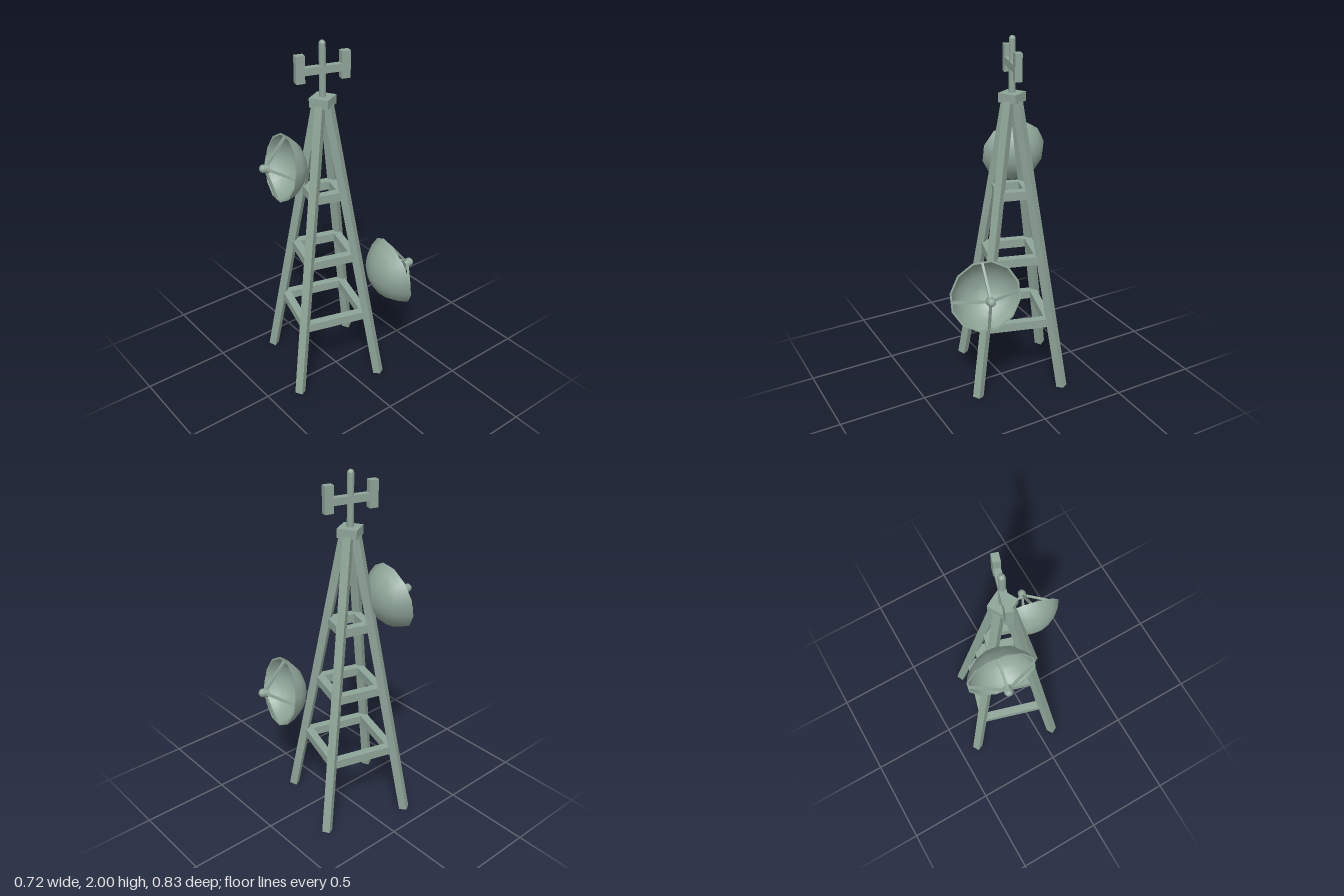
import * as THREE from 'three';
import { mergeGeometries } from 'three/addons/utils/BufferGeometryUtils.js';

const paint = new THREE.MeshStandardMaterial({ color: 0x8fa598 });

function add(parent, name, geometry, x = 0, y = 0, z = 0) {
  const mesh = new THREE.Mesh(geometry, paint);
  mesh.name = name;
  mesh.position.set(x, y, z);
  parent.add(mesh);
  return mesh;
}

// Square bar between two points of the parent's xy plane
function bar(parent, name, x0, y0, x1, y1, w) {
  const length = Math.hypot(x1 - x0, y1 - y0);
  const mesh = add(parent, name, new THREE.BoxGeometry(length, w, w), (x0 + x1) / 2, (y0 + y1) / 2);
  mesh.rotation.z = Math.atan2(y1 - y0, x1 - x0);
  return mesh;
}

function lathe(points, sides, start = 0) {
  return new THREE.LatheGeometry(points.map(([r, h]) => new THREE.Vector2(r, h)), sides, start);
}

// Tower: four leaning legs, three square rings, cap, mast and panel aerial
const LEG = 0.044, FOOT = 0.35, HEAD = 0.03, TOP = 1.67;
const legRadius = (y) => FOOT + (HEAD - FOOT) * y / TOP;

function createTower() {
  const tower = new THREE.Group();
  tower.name = 'tower';

  for (let i = 0; i < 4; i++) {
    const corner = new THREE.Group();
    corner.name = 'legCorner';
    corner.rotation.y = Math.PI / 4 + i * Math.PI / 2;
    bar(corner, 'leg', FOOT, 0.004, HEAD, TOP, LEG);
    tower.add(corner);
  }

  for (const y of [0.405, 0.78, 1.155]) {
    const ring = new THREE.Group();
    ring.name = 'braceRing';
    const half = legRadius(y) * Math.SQRT1_2 + 0.006, w = 0.044;
    for (let i = 0; i < 4; i++) {
      const side = new THREE.Group();
      side.name = 'braceSide';
      side.rotation.y = i * Math.PI / 2;
      add(side, 'brace', new THREE.BoxGeometry(2 * half - w, 0.05, w), w / 2, y, half - w / 2);
      ring.add(side);
    }
    tower.add(ring);
  }

  add(tower, 'cap', new THREE.BoxGeometry(0.107, 0.05, 0.107), 0, 1.68).rotation.y = Math.PI / 4;
  const r = 0.018;
  add(tower, 'mast', lathe([[r, 1.69], [r, 1.982], [r * 0.87, 1.991], [r * 0.5, 1.998], [0, 2]], 12));
  add(tower, 'aerialBar', new THREE.BoxGeometry(0.25, 0.04, 0.036), 0, 1.85);
  for (const s of [-1, 1]) {
    add(tower, 'aerialPanel', new THREE.BoxGeometry(0.048, 0.145, 0.038), s * 0.123, 1.863);
  }
  return tower;
}

// Dish facing +x, with its rim in the plane x = 0
function createDish() {
  const dish = new THREE.Group();
  dish.name = 'dish';
  const R = 0.205, centre = 0.063, sides = 12;
  const arc = (radius) => {
    const end = Math.acos(centre / radius), points = [];
    for (let i = 0; i <= 5; i++) {
      const a = end * i / 5;
      points.push([radius * Math.sin(a), centre - radius * Math.cos(a)]);
    }
    return points;
  };
  const outer = arc(R), inner = arc(R - 0.01).reverse();
  const start = Math.PI / sides;
  const bowl = mergeGeometries([
    lathe(outer, sides, start),
    lathe([outer[5], inner[0]], sides, start),
    lathe(inner, sides, start),
  ]);
  bowl.rotateZ(-Math.PI / 2);
  add(dish, 'bowl', bowl);

  for (let i = 0; i < 4; i++) {
    const spoke = new THREE.Group();
    spoke.name = 'strutArm';
    spoke.rotation.x = i * Math.PI / 2;
    bar(spoke, 'feedStrut', -0.002, 0.183, 0.092, 0.008, 0.013);
    dish.add(spoke);
  }

  const feed = lathe([[0, 0.075], [0.024, 0.0751]], 12);
  const body = lathe([[0.024, 0.075], [0.024, 0.11], [0.019, 0.121], [0.01, 0.127], [0, 0.128]], 12);
  const base = feed.scale(1, 1, 1);
  // The base disc faces the bowl
  add(dish, 'feedHorn', mergeGeometries([base, body]).rotateZ(-Math.PI / 2));
  return dish;
}

function placeDish(parent, name, position, turn, yaw, tilt, scale) {
  const mount = new THREE.Group();
  mount.name = name;
  mount.position.set(...position);
  mount.rotation.y = turn;
  const dish = createDish();
  dish.scale.setScalar(scale);
  dish.rotation.set(0, -yaw, tilt, 'ZYX');
  mount.add(dish);
  parent.add(mount);
}

export function createModel() {
  const model = new THREE.Group();
  model.name = 'radioTower';

  const tower = createTower();
  tower.position.set(-0.024, 0, -0.08);
  tower.rotation.y = -0.288;
  model.add(tower);

  placeDish(model, 'lowerDish', [0.234, 0.695, 0.222], 0, 0.2, 0.2, 1.02);
  placeDish(model, 'upperDish', [-0.218, 1.308, -0.202], Math.PI, 0.155, 0.19, 0.96);
  return model;
}
